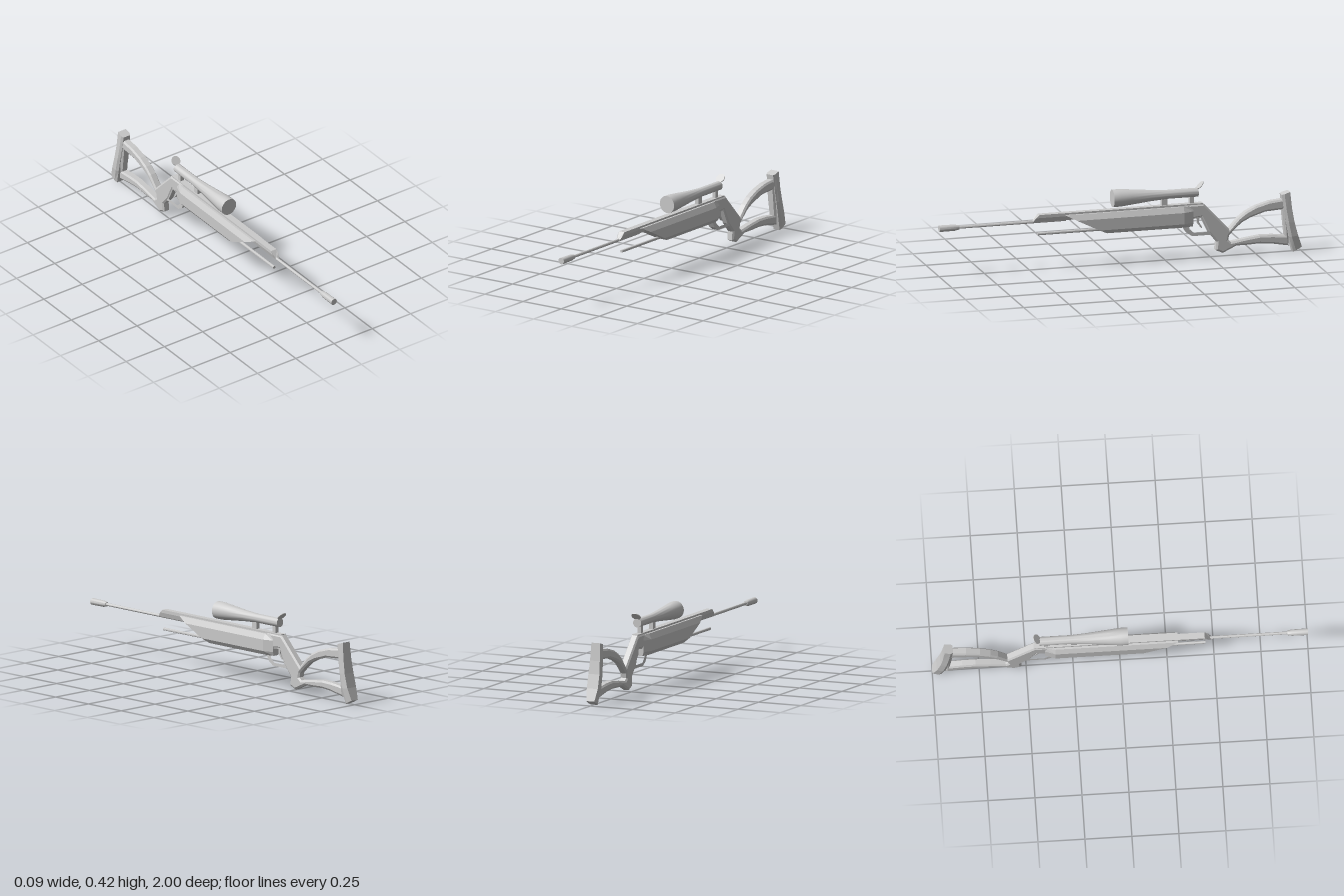
import * as THREE from 'three';
import { toCreasedNormals } from 'three/addons/utils/BufferGeometryUtils.js';

const grey = new THREE.MeshStandardMaterial({ color: 0xcccccc });
const flat = new THREE.MeshStandardMaterial({ color: 0xcccccc, flatShading: true });

function part(name, geometry, material = flat) {
  const mesh = new THREE.Mesh(geometry, material);
  mesh.name = name;
  return mesh;
}

// Turned part along z from [radius, z] pairs, z ascending
function turned(name, profile, y, segments = 20) {
  const geo = new THREE.LatheGeometry(profile.map(([r, z]) => new THREE.Vector2(r, z)), segments);
  geo.rotateX(Math.PI / 2).translate(0, y, 0);
  return part(name, toCreasedNormals(geo, 0.6), grey);
}

const rod = (name, r, z0, z1, y, segments) =>
  turned(name, [[0, z0], [r, z0], [r, z1], [0, z1]], y, segments);

// Side outline of [z, y] points, given a width along x and an inward chamfer
function plate(name, outline, holes, halfWidth, chamfer) {
  const points = (list) => list.map(([z, y]) => new THREE.Vector2(z, y));
  const shape = new THREE.Shape(points(outline));
  holes.forEach((h) => shape.holes.push(new THREE.Path(points(h))));
  const deep = chamfer * 0.7;
  const depth = 2 * (halfWidth - deep);
  const geo = new THREE.ExtrudeGeometry(shape, {
    depth, bevelEnabled: chamfer > 0, bevelSegments: 1,
    bevelSize: chamfer, bevelOffset: -chamfer, bevelThickness: deep,
  });
  geo.translate(0, 0, -depth / 2).rotateY(-Math.PI / 2);
  return part(name, geo);
}

// Skin over convex rings of [x, y, z] points, with both ends capped
function loft(name, rings) {
  const pos = [];
  const n = rings[0].length;
  const tri = (...corners) => corners.forEach((c) => pos.push(...c));
  for (let k = 0; k < rings.length - 1; k++) {
    for (let i = 0; i < n; i++) {
      const j = (i + 1) % n;
      tri(rings[k][i], rings[k + 1][i], rings[k][j]);
      tri(rings[k][j], rings[k + 1][i], rings[k + 1][j]);
    }
  }
  const last = rings[rings.length - 1];
  for (let i = 1; i < n - 1; i++) {
    tri(rings[0][0], rings[0][i], rings[0][i + 1]);
    tri(last[0], last[i + 1], last[i]);
  }
  const geo = new THREE.BufferGeometry();
  geo.setAttribute('position', new THREE.Float32BufferAttribute(pos, 3));
  geo.computeVertexNormals();
  return part(name, geo);
}

export function createModel() {
  const model = new THREE.Group();

  // Barrel, muzzle and lower rod
  model.add(
    rod('barrel', 0.008, 0.3, 0.9, 0.263, 12),
    turned('muzzle', [[0, 0.89], [0.012, 0.89], [0.017, 0.915], [0.018, 1], [0, 1]], 0.263, 16),
    rod('lowerRod', 0.008, 0.05, 0.455, 0.195, 12),
  );

  // Top rail with a sloping nose
  const railRing = (zTop, zBottom) => [
    [-0.01, 0.262, zBottom], [0.01, 0.262, zBottom], [0.017, 0.285, (zTop + zBottom) / 2],
    [0.017, 0.302, zTop], [-0.017, 0.302, zTop], [-0.017, 0.285, (zTop + zBottom) / 2],
  ];
  model.add(loft('topRail', [railRing(0.45, 0.485), railRing(-0.455, -0.455)]));

  // Eight-sided fore-end, cut away at the front and tapered at the rear
  const half = [[0.028, 0.178], [0.044, 0.2], [0.044, 0.262], [0.028, 0.292]];
  const section = [...half, ...half.map(([x, y]) => [-x, y]).reverse()];
  const foreRing = (scale, zAt) => section.map(([x, y]) => [x * scale, y, zAt(y)]);
  model.add(loft('foreEnd', [
    foreRing(1, (y) => 0.08 + (y - 0.178) * 2),
    foreRing(1, () => -0.345),
    foreRing(0.55, () => -0.4),
  ]));

  // Receiver, grip and open stock in one piece
  const stock = [
    [-0.35, 0.298], [-0.46, 0.298], [-0.6, 0.15], [-0.65, 0.205], [-0.69, 0.235],
    [-0.745, 0.262], [-0.82, 0.283], [-0.92, 0.293], [-0.93, 0.035], [-0.9, 0.04],
    [-0.83, 0.053], [-0.77, 0.058], [-0.7, 0.055], [-0.64, 0.055], [-0.565, 0.02],
    [-0.525, 0.038], [-0.53, 0.085], [-0.485, 0.14], [-0.445, 0.225], [-0.35, 0.215],
  ];
  const stockHole = [
    [-0.595, 0.09], [-0.6, 0.115], [-0.63, 0.145], [-0.67, 0.18], [-0.72, 0.205],
    [-0.8, 0.23], [-0.893, 0.236], [-0.908, 0.09], [-0.84, 0.098], [-0.77, 0.1],
    [-0.69, 0.09], [-0.61, 0.077],
  ];
  model.add(plate('stock', stock, [stockHole], 0.022, 0.01));

  // Trigger guard and trigger
  const guard = [
    [-0.345, 0.23], [-0.345, 0.18], [-0.365, 0.145], [-0.395, 0.125], [-0.5, 0.125],
    [-0.5, 0.16], [-0.46, 0.235],
  ];
  const guardHole = [
    [-0.375, 0.2], [-0.38, 0.165], [-0.405, 0.142], [-0.484, 0.142], [-0.447, 0.223], [-0.39, 0.218],
  ];
  const trigger = [
    [-0.422, 0.23], [-0.438, 0.23], [-0.437, 0.195], [-0.455, 0.165], [-0.449, 0.163], [-0.427, 0.19],
  ];
  model.add(plate('triggerGuard', guard, [guardHole], 0.018, 0));
  model.add(plate('trigger', trigger, [], 0.006, 0));

  // Butt plate: [y front, z front, y back, z back, half width] from top to bottom
  const buttRows = [
    [0.316, -0.89, 0.33, -0.935, 0.028], [0.235, -0.9, 0.235, -0.945, 0.032],
    [0.165, -0.912, 0.165, -0.957, 0.036], [0.085, -0.927, 0.09, -0.977, 0.036],
    [0, -0.952, 0.025, -1, 0.026],
  ];
  model.add(loft('buttPlate', buttRows.map(([yf, zf, yb, zb, w]) => {
    const ym = yf + (yb - yf) * 0.3;
    const zm = zf + (zb - zf) * 0.3;
    return [[w * 0.75, yf, zf], [w, ym, zm], [w * 0.9, yb, zb],
      [-w * 0.9, yb, zb], [-w, ym, zm], [-w * 0.75, yf, zf]];
  })));

  // Scope with its mounts and raised rear cap
  const scope = new THREE.Group();
  scope.name = 'scope';
  scope.add(turned('scopeTube', [
    [0, -0.43], [0.024, -0.43], [0.024, -0.26], [0.03, -0.17], [0.041, -0.06], [0.047, 0.0],
    [0.047, 0.042], [0, 0.042],
  ], 0.36, 28));
  for (const [z, depth] of [[-0.245, 0.032], [-0.395, 0.022]]) {
    const mount = part('scopeMount', new THREE.BoxGeometry(0.022, 0.055, depth));
    mount.position.set(0, 0.322, z);
    scope.add(mount);
  }
  const cap = part('scopeCap', toCreasedNormals(new THREE.CylinderGeometry(0.026, 0.026, 0.004, 24), 0.6), grey);
  cap.position.set(0, 0.397, -0.443);
  cap.rotation.x = 0.8;
  scope.add(cap);
  model.add(scope);

  return model;
}
